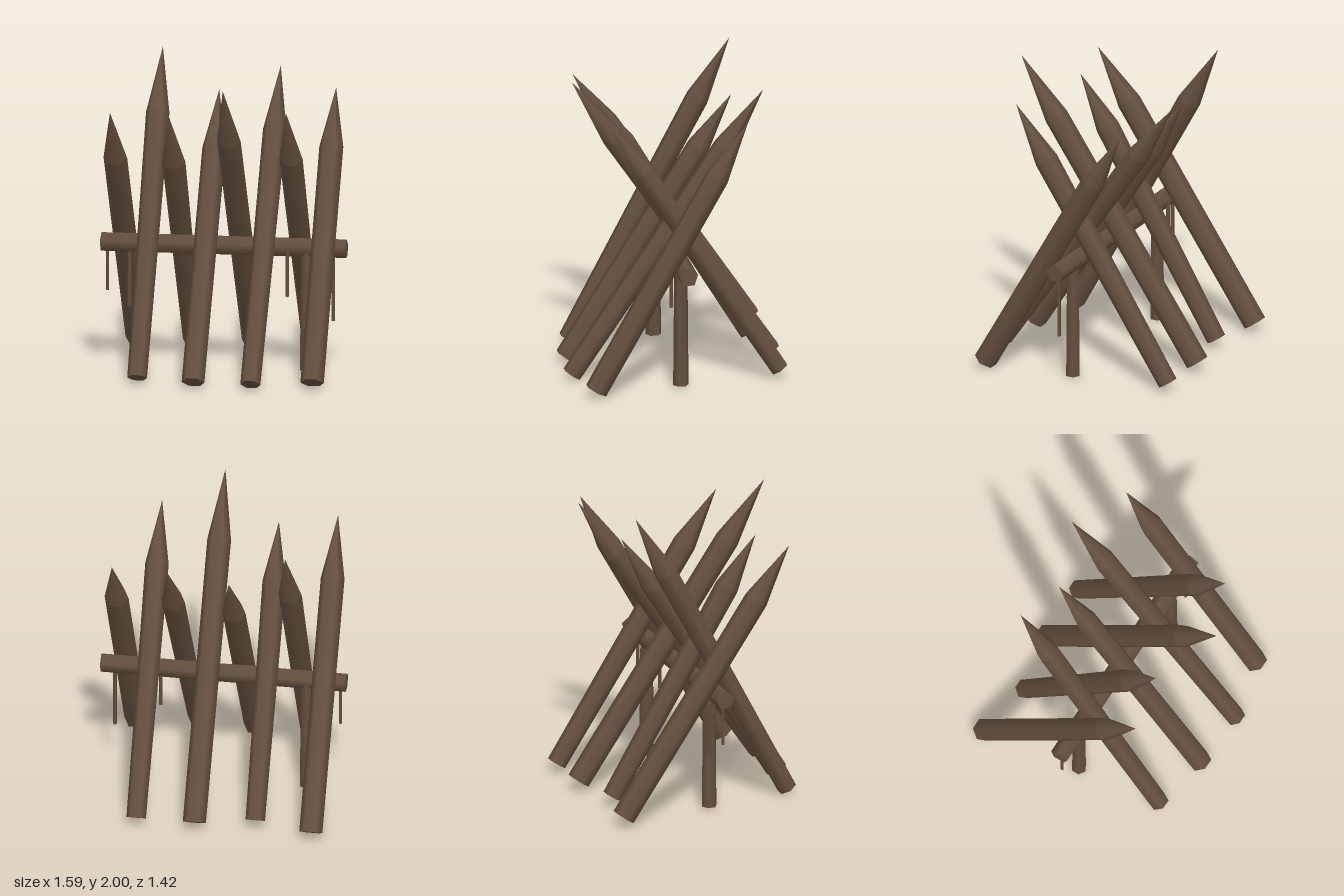
import * as THREE from 'three';

export function createModel() {
  const group = new THREE.Group();
  group.name = 'stakeBarricade';
  const wood = new THREE.MeshStandardMaterial({ color: 0x65503f });
  wood.name = 'weathered brown wood';
  const UP = new THREE.Vector3(0, 1, 0);

  function add(parent, name, geometry, x = 0, y = 0, z = 0) {
    const mesh = new THREE.Mesh(geometry, wood);
    mesh.name = name;
    mesh.position.set(x, y, z);
    parent.add(mesh);
    return mesh;
  }

  // Six-sided stake from its foot to its sharpened tip
  function stake(foot, tip, footRadius, topRadius) {
    const a = new THREE.Vector3(...foot);
    const axis = new THREE.Vector3(...tip).sub(a);
    const length = axis.length();
    const shaft = length * 0.8;
    const point = length - shaft;
    const holder = new THREE.Group();
    holder.name = 'stake';
    holder.position.copy(a);
    holder.quaternion.setFromUnitVectors(UP, axis.normalize());
    add(holder, 'stakeShaft',
      new THREE.CylinderGeometry(topRadius, footRadius, shaft, 6, 1, false, Math.PI / 6), 0, shaft / 2);
    add(holder, 'stakePoint',
      new THREE.ConeGeometry(topRadius, point, 6, 1, true, Math.PI / 6), 0, shaft + point / 2);
    group.add(holder);
  }

  // Stakes lean alternately forward and backward: foot, tip, foot radius, top radius
  const stakes = [
    [[-0.675, 0.063, -0.65], [-0.655, 1.75, 0.5], 0.075, 0.077],
    [[-0.468, 0.037, 0.56], [-0.48, 2.0, -0.49], 0.064, 0.076],
    [[-0.302, 0.073, -0.58], [-0.285, 1.715, 0.415], 0.063, 0.076],
    [[-0.092, 0.035, 0.635], [-0.105, 1.74, -0.44], 0.074, 0.076],
    [[0.08, 0.066, -0.66], [0.1, 1.94, 0.63], 0.075, 0.077],
    [[0.285, 0.037, 0.66], [0.27, 1.88, -0.585], 0.065, 0.076],
    [[0.458, 0.061, -0.66], [0.48, 1.775, 0.45], 0.063, 0.076],
    [[0.67, 0.043, 0.565], [0.658, 1.78, -0.42], 0.076, 0.078],
  ];
  for (const s of stakes) stake(...s);

  // Five-sided rail under the crossing
  const railGeometry = new THREE.CylinderGeometry(0.063, 0.063, 1.59, 5, 1, false, Math.PI / 2);
  railGeometry.rotateZ(Math.PI / 2);
  const rail = add(group, 'crossRail', railGeometry, 0, 0.807, -0.005);
  rail.rotation.y = 0.014;

  // Support posts
  for (const side of [-1, 1]) {
    add(group, 'supportPost', new THREE.CylinderGeometry(0.043, 0.05, 0.79, 6), side * 0.541, 0.408, -0.006);
  }

  // Thin hanging ties: x, z, lower end, radius
  const ties = [
    [-0.755, 0.005, 0.495, 0.011],
    [-0.62, -0.04, 0.385, 0.015],
    [0.418, 0.035, 0.495, 0.012],
    [0.71, 0, 0.34, 0.012],
  ];
  for (const [x, z, low, r] of ties) {
    add(group, 'hangingTie', new THREE.CylinderGeometry(r, r, 0.8 - low, 5), x, (0.8 + low) / 2, z);
  }
  return group;
}
